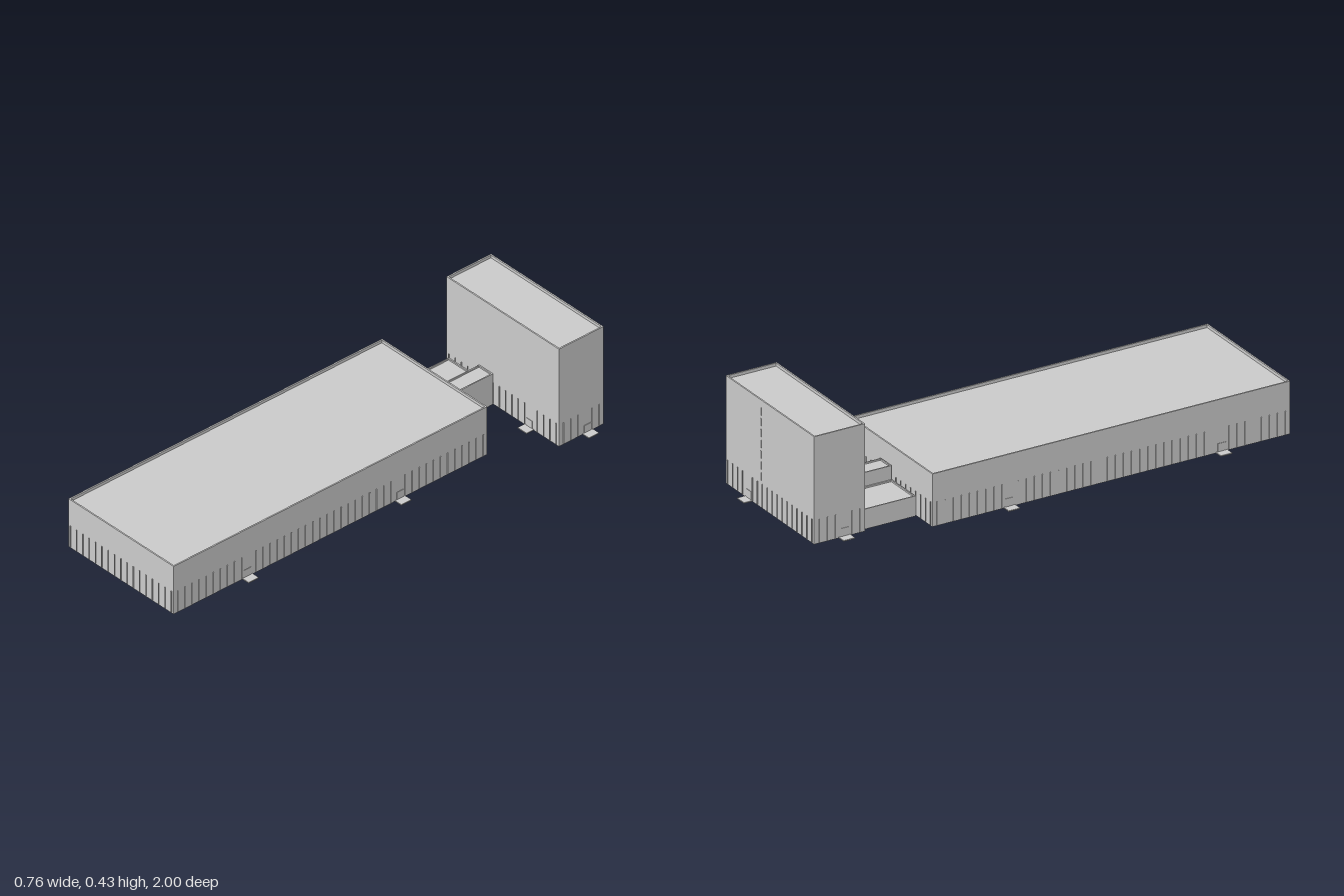
import * as THREE from 'three';

const YAW = 0.0166;
const FIN_H = 0.093, FIN_GAP = 0.0342;
const grey = new THREE.MeshStandardMaterial({ color: 0xcccccc, flatShading: true });

function box(parent, name, w, h, d, x, y, z) {
  const m = new THREE.Mesh(new THREE.BoxGeometry(w, h, d), grey);
  m.name = name;
  m.position.set(x, y + h / 2, z); // y is the underside
  parent.add(m);
  return m;
}

// Upstanding rim around a flat roof
function parapet(parent, w, d, x, y, z, h, t) {
  const rect = (T, a, b) => {
    const s = new T();
    s.moveTo(-a, -b);
    s.lineTo(a, -b);
    s.lineTo(a, b);
    s.lineTo(-a, b);
    s.closePath();
    return s;
  };
  const shape = rect(THREE.Shape, w / 2, d / 2);
  shape.holes.push(rect(THREE.Path, w / 2 - t, d / 2 - t));
  const geo = new THREE.ExtrudeGeometry(shape, { depth: h, bevelEnabled: false });
  geo.rotateX(-Math.PI / 2);
  const m = new THREE.Mesh(geo, grey);
  m.name = 'parapet';
  m.position.set(x, y, z);
  parent.add(m);
}

// Block with recessed roof
function block(parent, name, w, h, d, x, z, rim, t) {
  box(parent, name, w, h - rim, d, x, 0, z);
  parapet(parent, w, d, x, h - rim, z, rim, t);
}

// Calls fn with a group whose origin is on the foot of each wall, +z outwards
function eachWall(parent, w, d, fn) {
  [['front', 0, w, d], ['left', 1, d, w], ['back', 2, w, d], ['right', 3, d, w]].forEach(([side, turn, len, depth]) => {
    const wall = new THREE.Group();
    wall.name = side + 'Wall';
    wall.rotation.y = turn * Math.PI / 2;
    wall.position.set(0, 0, depth / 2).applyAxisAngle(new THREE.Vector3(0, 1, 0), wall.rotation.y);
    parent.add(wall);
    fn(wall, len, side);
  });
}

// entries: { side: [offsets along that wall] }
function building(name, w, h, d, x, z, entries) {
  const g = new THREE.Group();
  g.name = name;
  g.position.set(x, 0, z);
  g.rotation.y = YAW;
  block(g, name + 'Walls', w, h, d, 0, 0, 0.012, 0.006);

  eachWall(g, w, d, (wall, len, side) => {
    const doors = entries[side] || [];
    // Evenly spaced fins along the ground floor, left out at doors
    const n = Math.floor((len - 0.02) / FIN_GAP);
    for (let i = 0; i <= n; i++) {
      const p = (i - n / 2) * FIN_GAP;
      if (doors.some(o => Math.abs(o - p) < 0.02)) continue;
      box(wall, 'fin', 0.003, FIN_H, 0.003, p, 0.003, 0.0015);
    }
    // Door with a doorstep slab
    for (const o of doors) {
      box(wall, 'door', 0.034, 0.036, 0.002, o, 0, 0.001);
      box(wall, 'doorstep', 0.048, 0.004, 0.035, o, 0, 0.0175);
    }
  });
  return g;
}

export function createModel() {
  const model = new THREE.Group();
  model.name = 'buildingComplex';

  // Long low hall
  model.add(building('hall', 0.57, 0.21, 1.51, -0.055, 0.235, {
    left: [-0.4, 0.335], right: [-0.43, 0.465],
  }));

  // Tall slab at the back
  const tower = building('tower', 0.61, 0.428, 0.215, 0.042, -0.855, {
    front: [0.145], back: [-0.145], left: [0.03], right: [0.02],
  });
  // Broken vertical strip up the back wall
  for (let i = 0; i < 7; i++) box(tower, 'backStrip', 0.004, 0.03, 0.002, 0.06, 0.11 + i * 0.043, -0.1085);
  model.add(tower);

  // Low link and its raised passage joining both buildings
  const link = new THREE.Group();
  link.name = 'link';
  link.position.set(-0.125, 0, -0.633);
  link.rotation.y = YAW;
  block(link, 'lowLink', 0.165, 0.08, 0.22, -0.0375, 0, 0.006, 0.005);
  block(link, 'passage', 0.075, 0.135, 0.22, 0.0825, 0, 0.006, 0.005);
  model.add(link);

  return model;
}
